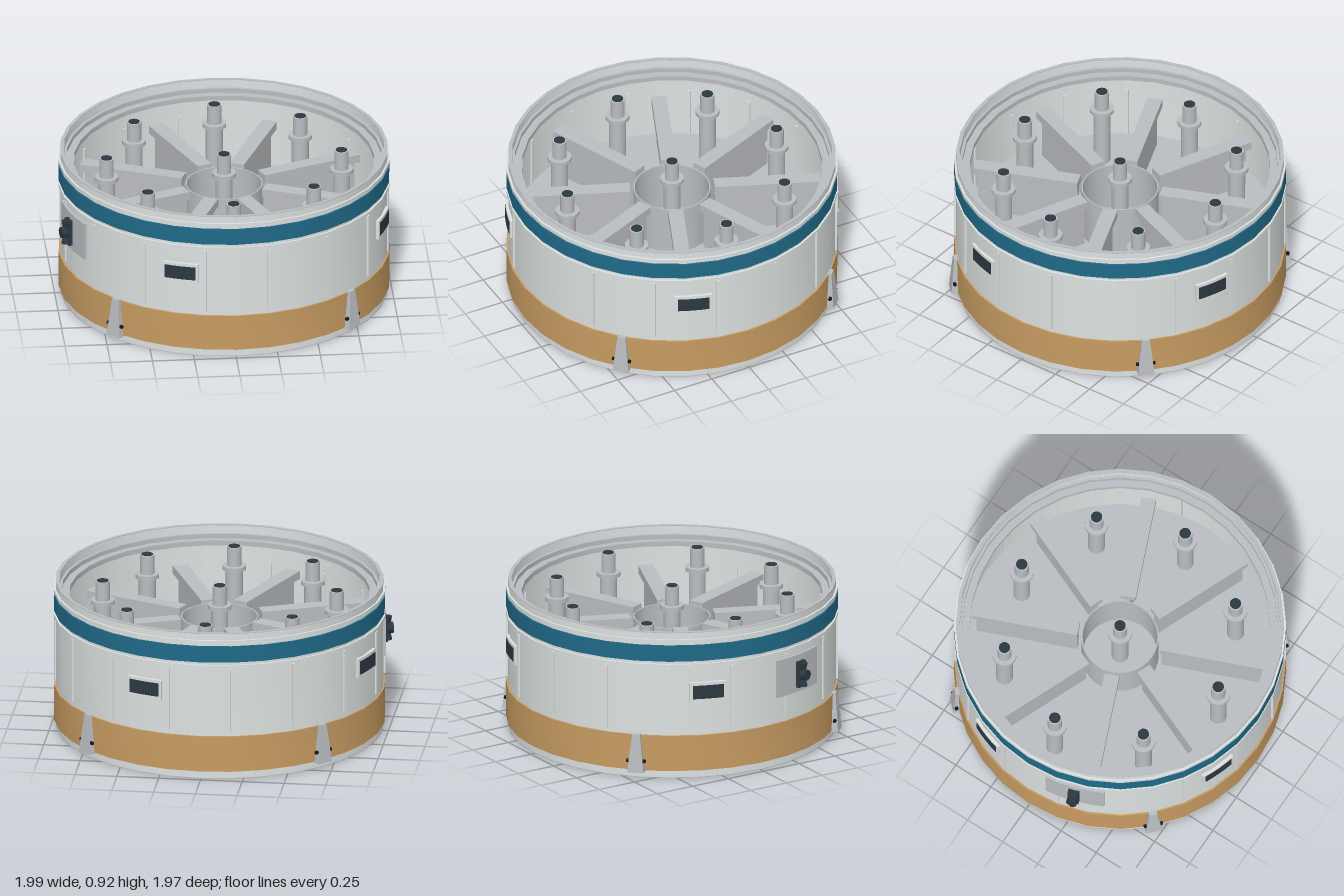
import * as THREE from 'three';
import { toCreasedNormals } from 'three/addons/utils/BufferGeometryUtils.js';

const material = (name, color) => new THREE.MeshStandardMaterial({ name, color });
const V = (x, y) => new THREE.Vector2(x, y);
const SIDES = 32;

export function createModel() {
  const root = new THREE.Group();
  root.name = 'pressureModule';
  root.position.x = 0.009;

  const shellGrey = material('shell light grey', 0xdce2e1);
  const metal = material('metal grey', 0xbabdc1);
  const blue = material('stripe blue', 0x206a88);
  const tan = material('insulation tan', 0xc89c62);
  const dark = material('dark slate', 0x2c3840);
  const black = material('seam black', 0x15181b);

  // Adds a mesh at a given angle (from +z toward +x) and radius
  const add = (name, geo, mat, angle = 0, r = 0, y = 0, x = 0) => {
    const pivot = new THREE.Group();
    pivot.rotation.y = angle;
    const mesh = new THREE.Mesh(geo, mat);
    mesh.name = pivot.name = name;
    mesh.position.set(x, y, r);
    pivot.add(mesh);
    root.add(pivot);
    return mesh;
  };
  const lathe = (pts, sides = SIDES, start = 0, sweep = Math.PI * 2) =>
    toCreasedNormals(new THREE.LatheGeometry(pts.map(p => V(...p)), sides, start, sweep), 0.6);
  const ring = (r0, r1, y0, y1, ...rest) =>
    lathe([[r0, y0], [r1, y0], [r1, y1], [r0, y1], [r0, y0]], ...rest);
  const box = (w, h, d) => new THREE.BoxGeometry(w, h, d);
  const cyl = (r0, r1, h, n = 16) => new THREE.CylinderGeometry(r0, r1, h, n);
  const deg = Math.PI / 180;

  // Curved panel hugging the shell, with closed ends
  const panel = (name, mat, angle, half, r0, r1, y0, y1) => {
    add(name, ring(r0, r1, y0, y1, 4, angle - half, half * 2), mat);
    for (const s of [-1, 1]) {
      add(name + 'End', box(0.003, y1 - y0, r1 - r0), mat, angle + s * half, (r0 + r1) / 2, (y0 + y1) / 2);
    }
  };

  // Thin hollow shell with end caps and inner lips
  add('shell', ring(0.953, 0.975, 0.004, 0.911), shellGrey);
  add('bottomCap', ring(0.953, 0.975, 0, 0.004), metal);
  add('topCap', ring(0.953, 0.975, 0.911, 0.915), metal);
  add('topLip', lathe([
    [0.893, 0.805], [0.96, 0.805], [0.96, 0.862], [0.937, 0.862], [0.937, 0.835], [0.893, 0.835], [0.893, 0.805],
  ]), metal);
  add('bottomLip', ring(0.915, 0.96, 0.115, 0.135), metal);

  // Bands around the shell
  add('blueStripe', ring(0.97, 0.985, 0.735, 0.835), blue);
  add('insulationBand', ring(0.97, 0.985, 0.047, 0.268), tan);
  add('upperHoop', ring(0.97, 0.987, 0.848, 0.872), shellGrey);
  add('lowerHoop', ring(0.97, 0.987, 0.698, 0.717), shellGrey);

  // Vertical stringers, running through the shell wall
  for (let i = 0; i < 16; i++) {
    add('stringer', box(0.018, 0.395, 0.042), shellGrey, (11.25 + 22.5 * i) * deg, 0.964, 0.493);
  }

  // Windows and tapered clamps, four of each
  const clampShape = new THREE.Shape([V(-0.05, 0), V(0.05, 0), V(0.024, 0.235), V(-0.024, 0.235)]);
  const clampGeo = new THREE.ExtrudeGeometry(clampShape, { depth: 0.08, bevelEnabled: false });
  const cp = clampGeo.attributes.position;
  for (let i = 0; i < cp.count; i++) {
    if (cp.getZ(i) > 0.05 && cp.getY(i) > 0.1) cp.setZ(i, 0.06);
  }
  clampGeo.computeVertexNormals();
  for (let i = 0; i < 4; i++) {
    const a = (-20 + 90 * i) * deg;
    panel('windowFrame', shellGrey, a, 6.4 * deg, 0.965, 0.99, 0.48, 0.6);
    panel('windowGlass', dark, a, 5.4 * deg, 0.986, 0.993, 0.499, 0.582);
    const b = (45 + 90 * i) * deg;
    add('clamp', clampGeo, metal, b, 0.94, 0.04);
    add('clampPin', cyl(0.011, 0.011, 0.115, 10), black, b, 1.0, 0.11).rotation.z = Math.PI / 2;
  }

  // Curved mounting plate with a thruster block
  const tA = -72.5 * deg;
  panel('thrusterPlate', metal, tA, 10.5 * deg, 0.97, 0.986, 0.428, 0.66);
  add('thrusterBase', box(0.066, 0.16, 0.03), dark, tA, 0.995, 0.54);
  add('thrusterHub', cyl(0.033, 0.033, 0.045), dark, tA, 1.024, 0.54).rotation.x = Math.PI / 2;
  for (const s of [-1, 1]) {
    const nozzle = add('thrusterNozzle', cyl(0.026, 0.016, 0.045, 12), dark, tA, 1.015, 0.54 + s * 0.05);
    nozzle.rotation.x = s > 0 ? 0 : Math.PI;
  }

  // Tank positions: one central and eight around
  const spots = [[0, 0]];
  for (let i = 0; i < 8; i++) spots.push([i * 45 * deg, 0.7]);

  // Bulkhead with round openings: tan beneath, grey deck above
  const disc = new THREE.Shape();
  disc.absarc(0, 0, 0.955, 0, Math.PI * 2, false);
  for (const [a, r] of spots) {
    const hole = new THREE.Path();
    hole.absarc(r * Math.sin(a), r * Math.cos(a), 0.17, 0, Math.PI * 2, true);
    disc.holes.push(hole);
  }
  const plate = new THREE.ExtrudeGeometry(disc, { depth: 0.035, bevelEnabled: false, curveSegments: 24 });
  plate.rotateX(Math.PI / 2);
  add('bulkhead', plate, tan, 0, 0, 0.36);
  add('bulkheadEdge', ring(0.938, 0.956, 0.318, 0.33), black);
  add('deck', cyl(0.956, 0.956, 0.01, SIDES), metal, 0, 0, 0.365);

  // Feed pipes with collars, and the recessed covers below them
  for (const [a, r] of spots) {
    add('pipeBase', cyl(0.051, 0.051, 0.37), metal, a, r, 0.55);
    add('pipeCollar', cyl(0.071, 0.071, 0.025, 20), metal, a, r, 0.74);
    add('pipeNeck', cyl(0.043, 0.043, 0.12), metal, a, r, 0.81);
    add('pipeMouth', cyl(0.034, 0.034, 0.006), dark, a, r, 0.871);
    add('recessCover', cyl(0.168, 0.168, 0.008, 24), metal, a, r, 0.356);
    add('recessWall', ring(0.167, 0.171, 0.324, 0.358, 24), shellGrey, a, r);
    add('recessSeal', ring(0.171, 0.182, 0.321, 0.327, 24), black, a, r);
  }

  // Central hub tube
  add('hub', ring(0.222, 0.23, 0.36, 0.68), metal);

  // Radial beams above, with seams and bolts beneath
  for (let i = 0; i < 8; i++) {
    const a = (22.5 + 45 * i) * deg;
    add('beam', box(0.09, 0.05, 0.635), metal, a, 0.568, 0.67);
    add('beamWeb', box(0.03, 0.29, 0.61), metal, a, 0.56, 0.51);
    add('bulkheadSeam', box(0.03, 0.012, 0.765), black, a, 0.562, 0.324);
    for (const r of [0.35, 0.5, 0.65, 0.8]) {
      for (const s of [-1, 1]) {
        add('bolt', cyl(0.008, 0.008, 0.014, 6), metal, a, r, 0.322, s * 0.045);
      }
    }
  }
  return root;
}
